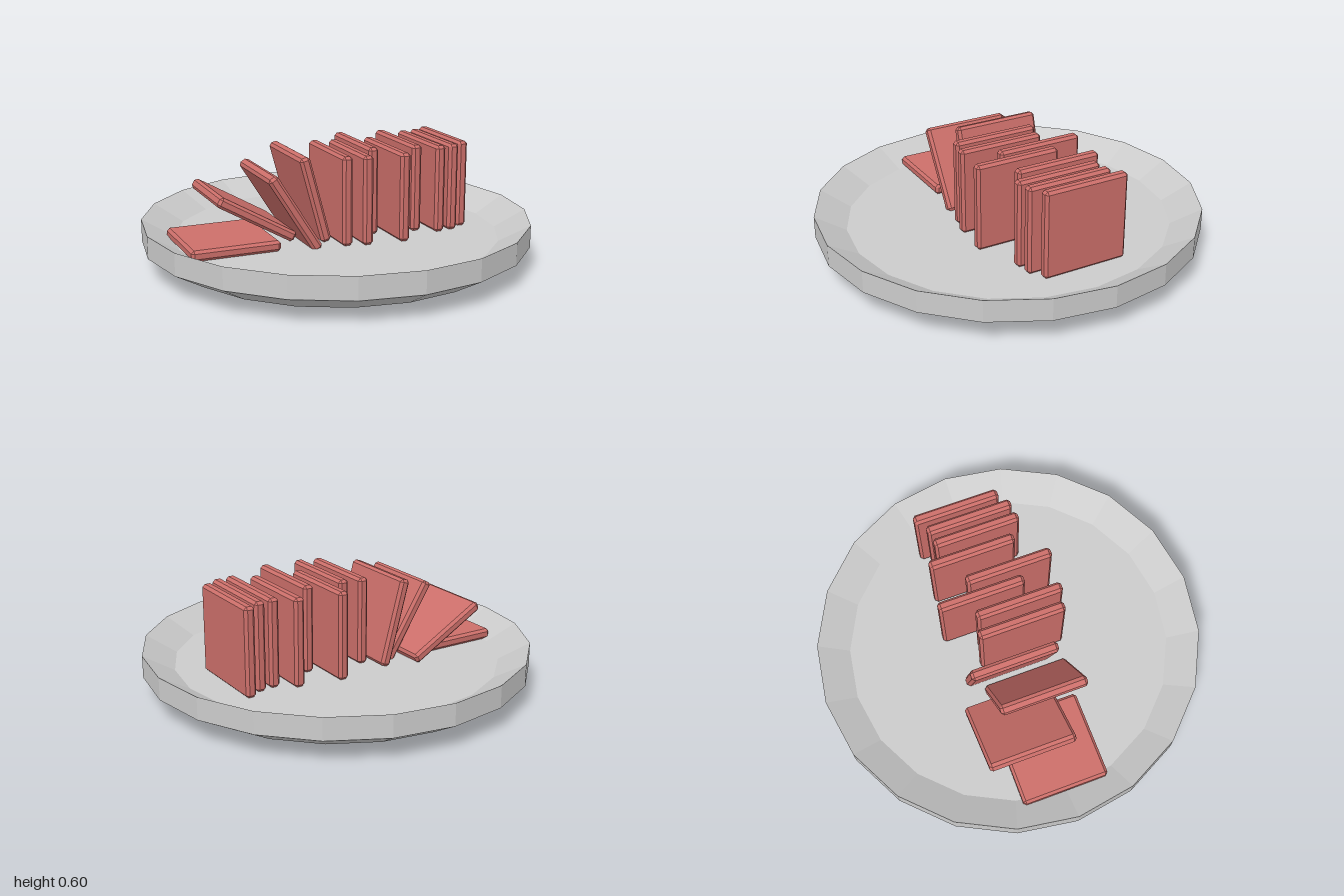
import * as THREE from 'three';
import { ConvexGeometry } from 'three/addons/geometries/ConvexGeometry.js';

// Box with every edge cut by a small flat chamfer
function chamferedBox(w, h, d, c) {
  const points = [];
  for (const x of [-1, 1]) for (const y of [-1, 1]) for (const z of [-1, 1]) {
    const corner = new THREE.Vector3(x * w / 2, y * h / 2, z * d / 2);
    for (const keep of ['x', 'y', 'z']) {
      const p = corner.clone().sub(new THREE.Vector3(x, y, z).multiplyScalar(c));
      p[keep] = corner[keep];
      points.push(p);
    }
  }
  return new ConvexGeometry(points);
}

export function createModel() {
  const model = new THREE.Group();
  model.name = 'plateOfSlices';
  const grey = new THREE.MeshStandardMaterial({ color: 0xcccccc, flatShading: true });
  const red = new THREE.MeshStandardMaterial({ color: 0xcc6f6a, flatShading: true });

  // Twenty-sided dish: recessed underside, foot ring, flared wall, sharp rim, flat floor
  const profile = [
    [0, 0.025], [0.695, 0.025], [0.705, 0], [0.74, 0], [0.74, 0.03],
    [0.84, 0.03], [1, 0.12], [1, 0.235], [0.84, 0.145], [0, 0.145],
  ].map(([r, y]) => new THREE.Vector2(r, y));
  const plate = new THREE.Mesh(new THREE.LatheGeometry(profile, 20), grey);
  plate.name = 'plate';
  model.add(plate);

  // Square slices: x, y, z of the centre and lean in degrees towards -x
  const sliceGeometry = chamferedBox(0.055, 0.455, 0.455, 0.014);
  const upright = 0.3725;
  const slices = [
    [-0.615, 0.173, -0.003, 90],
    [-0.467, 0.283, -0.115, 60],
    [-0.318, 0.33, 0.025, 32],
    [-0.18, 0.368, -0.055, 15],
    [-0.053, upright, 0.05, 0],
    [0.048, upright, 0.075, 0],
    [0.152, upright, -0.088, 0],
    [0.243, upright, 0.092, 0],
    [0.382, upright, -0.055, 0],
    [0.487, upright, 0.007, 0],
    [0.567, upright, -0.003, 0],
    [0.645, upright, -0.047, 0],
  ];
  slices.forEach(([x, y, z, lean], i) => {
    const slice = new THREE.Mesh(sliceGeometry, red);
    slice.name = `slice${i + 1}`;
    slice.position.set(x, y, z);
    slice.rotation.z = THREE.MathUtils.degToRad(lean);
    model.add(slice);
  });

  return model;
}
